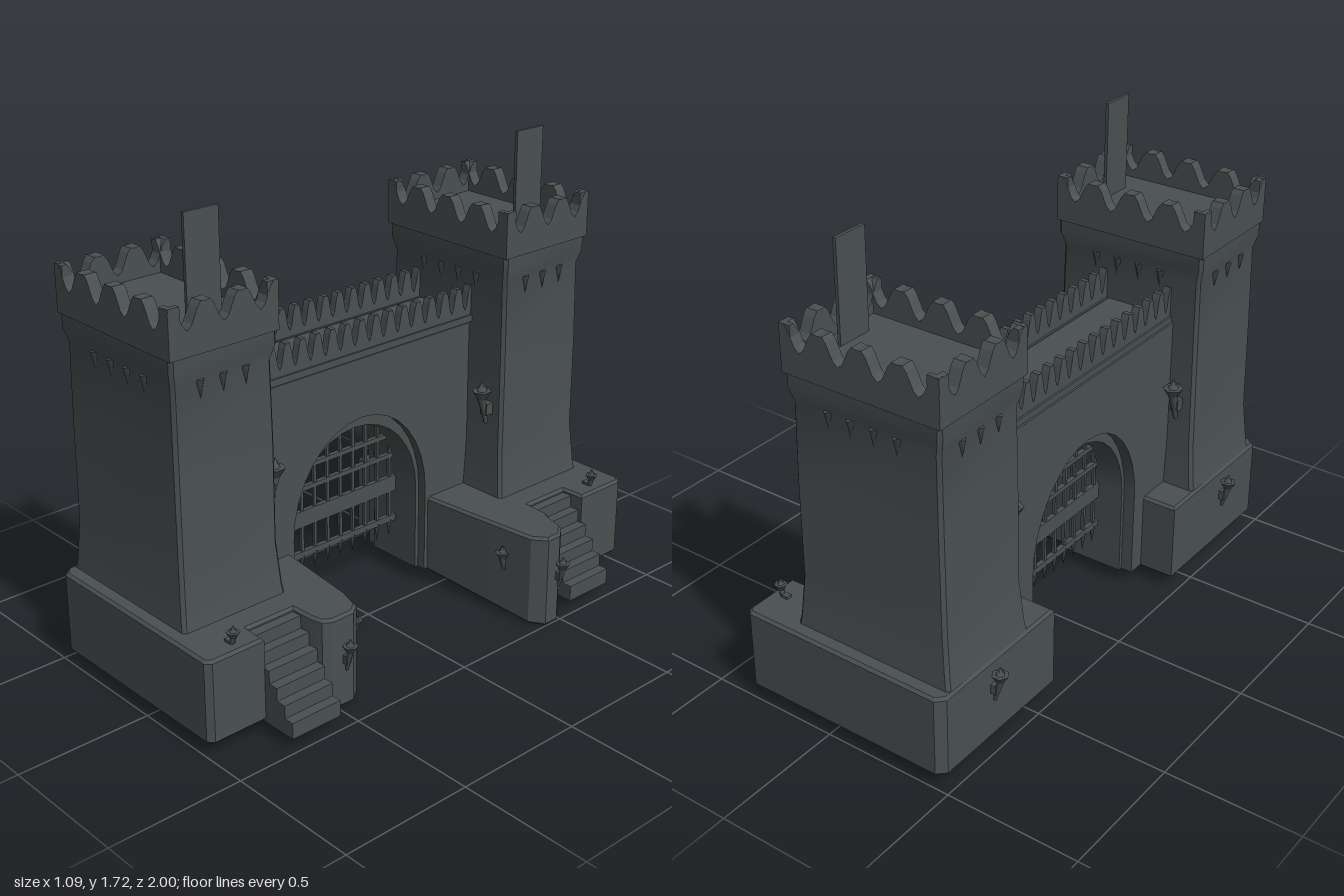
import * as THREE from 'three';
import { toCreasedNormals } from 'three/addons/utils/BufferGeometryUtils.js';

const stone = new THREE.MeshStandardMaterial({ color: 0x4a5050 });
stone.name = 'darkStone';

function add(parent, name, geometry, x = 0, y = 0, z = 0) {
  const mesh = new THREE.Mesh(geometry, stone);
  mesh.name = name;
  mesh.position.set(x, y, z);
  parent.add(mesh);
  return mesh;
}

// Stack of chamfered rectangles, each [y, x0, x1, z0, z1], closed at both ends
function loftRects(rings, c = 0.012) {
  const pos = [], idx = [], n = 8;
  for (const [y, x0, x1, z0, z1] of rings) {
    const pts = [[x0 + c, z0], [x0, z0 + c], [x0, z1 - c], [x0 + c, z1],
      [x1 - c, z1], [x1, z1 - c], [x1, z0 + c], [x1 - c, z0]];
    for (const [x, z] of pts) pos.push(x, y, z);
  }
  for (let r = 0; r < rings.length - 1; r++) {
    for (let i = 0; i < n; i++) {
      const a = r * n + i, b = r * n + (i + 1) % n;
      idx.push(a, b, b + n, a, b + n, a + n);
    }
  }
  const top = (rings.length - 1) * n;
  for (let i = 1; i < n - 1; i++) {
    idx.push(0, i + 1, i, top, top + i, top + i + 1);
  }
  const g = new THREE.BufferGeometry();
  g.setAttribute('position', new THREE.Float32BufferAttribute(pos, 3));
  g.setIndex(idx);
  return toCreasedNormals(g, 0.5);
}

// Parapet strip along x with rounded teeth, half a tooth at each end
function toothedWall(length, bottom, valley, top, gaps, thick) {
  const s = new THREE.Shape();
  const h = top - valley, step = length / gaps;
  s.moveTo(-length / 2, bottom);
  for (let i = 0; i < gaps; i++) {
    for (const [t, k] of [[0, 0.97], [0.13, 1], [0.22, 0.8], [0.38, 0.2], [0.5, 0], [0.62, 0.2], [0.78, 0.8], [0.87, 1]]) {
      s.lineTo(-length / 2 + (i + t) * step, valley + h * k);
    }
  }
  s.lineTo(length / 2, top);
  s.lineTo(length / 2, bottom);
  const g = new THREE.ExtrudeGeometry(s, { depth: thick, bevelEnabled: false });
  return g.translate(0, 0, -thick / 2);
}

// Wall slab across the gate with an arched opening
function archSlab(x0, x1, half, spring, apex, top) {
  const s = new THREE.Shape();
  s.moveTo(-0.56, 0.06);
  s.lineTo(-half, 0.06);
  for (let i = 0; i <= 16; i++) {
    const a = Math.PI * (1 - i / 16);
    s.lineTo(Math.cos(a) * half, spring + Math.sin(a) * (apex - spring));
  }
  s.lineTo(half, 0.06);
  s.lineTo(0.56, 0.06);
  s.lineTo(0.56, top);
  s.lineTo(-0.56, top);
  const g = new THREE.ExtrudeGeometry(s, { depth: x1 - x0, bevelEnabled: false });
  return toCreasedNormals(g.rotateY(Math.PI / 2).translate(x0, 0, 0), 0.5);
}

// Wall torch whose mount faces away from its local +z
function torch(parent, x, y, z, angle, scale = 1) {
  const g = new THREE.Group();
  g.name = 'torch';
  add(g, 'torchBracket', new THREE.BoxGeometry(0.03, 0.04, 0.04), 0, -0.02, 0);
  add(g, 'torchHandle', new THREE.CylinderGeometry(0.016, 0.007, 0.11, 6), 0, -0.02, 0.02).rotation.x = 0.25;
  add(g, 'torchCup', new THREE.CylinderGeometry(0.034, 0.016, 0.03, 6), 0, 0.035, 0.03);
  add(g, 'torchFlame', new THREE.ConeGeometry(0.022, 0.04, 5), 0, 0.065, 0.03);
  g.position.set(x, y, z);
  g.rotation.y = angle;
  g.scale.setScalar(scale);
  parent.add(g);
}

// Broad foundation with a wing and a notch for the stairs; tip is [x, |z|] points
function foundation(side, tip) {
  const outline = [[-0.45, 1], [-0.48, 0.97], [-0.48, 0.385], [-0.33, 0.385], [-0.33, 0.325], [-0.03, 0.335],
    ...tip, [0.35, 0.57], [0.26, 0.575], [0.26, 0.765], [0.35, 0.77], [0.35, 0.98], [0.33, 1]];
  const s = new THREE.Shape(outline.map(([x, z]) => new THREE.Vector2(x, -z * side)));
  const g = new THREE.ExtrudeGeometry(s, {
    depth: 0.29, bevelThickness: 0.01, bevelSize: 0.01, bevelOffset: -0.01, bevelSegments: 1 });
  g.rotateX(-Math.PI / 2).translate(0, 0.06, 0);
  // underside of the wing dips toward its tip
  const p = g.attributes.position;
  for (let i = 0; i < p.count; i++) {
    if (p.getY(i) < 0.2 && Math.abs(p.getZ(i)) < 0.573) {
      p.setY(i, p.getY(i) - 0.1 * Math.max(0, p.getX(i)));
    }
  }
  return toCreasedNormals(g, 0.5);
}

function tower(side) {
  const g = new THREE.Group();
  g.name = side > 0 ? 'frontTower' : 'backTower';
  g.position.z = 0.735 * side;

  add(g, 'towerBody', loftRects([
    [0.34, -0.475, 0.165, -0.215, 0.215], [0.39, -0.465, 0.155, -0.21, 0.21], [0.55, -0.45, 0.14, -0.2, 0.2],
    [0.9, -0.445, 0.14, -0.2, 0.2], [1.2, -0.44, 0.135, -0.197, 0.197], [1.25, -0.455, 0.15, -0.21, 0.21],
    [1.36, -0.455, 0.15, -0.21, 0.21]]));

  // crown of rounded battlements
  for (const k of [-1, 1]) {
    add(g, 'battlementLong', toothedWall(0.612, 1.3, 1.385, 1.47, 4, 0.045), -0.152, 0, k * 0.192);
    add(g, 'battlementShort', toothedWall(0.428, 1.3, 1.385, 1.47, 3, 0.045), -0.152 + k * 0.284, 0, 0)
      .rotation.y = Math.PI / 2;
  }

  // small pointed corbels under the crown
  const corbel = () => new THREE.ConeGeometry(0.022, 0.09, 4).rotateX(Math.PI);
  for (const k of [-1, 1]) {
    for (let i = 0; i < 4; i++) add(g, 'corbel', corbel(), -0.28 + i * 0.09, 1.165, k * 0.192);
    for (let i = 0; i < 3; i++) add(g, 'corbel', corbel(), -0.152 + k * 0.282, 1.165, -0.09 + i * 0.09);
  }

  // upright banner
  add(g, 'banner', new THREE.BoxGeometry(0.012, 0.37, 0.133), 0.047, 1.535, 0);
  return g;
}

export function createModel() {
  const model = new THREE.Group();
  model.name = 'castleGate';

  const tips = {
    1: [[0.3, 0.375], [0.38, 0.4], [0.41, 0.44], [0.41, 0.53], [0.39, 0.56]],
    '-1': [[0.3, 0.365], [0.45, 0.38], [0.5, 0.42], [0.5, 0.48], [0.46, 0.53], [0.38, 0.555]],
  };

  for (const side of [1, -1]) {
    model.add(tower(side));
    add(model, 'foundation', foundation(side, tips[side]));

    // stairs leading out of the foundation
    for (let i = 0; i < 6; i++) {
      const h = 0.3 - i * 0.048;
      add(model, 'stair', new THREE.BoxGeometry(0.04, h, 0.205), 0.277 + i * 0.038, 0.045 + h / 2, 0.67 * side);
    }

    // torches on the tower, the back and the wing
    const inward = side > 0 ? Math.PI : 0;
    torch(model, 0.08, 0.73, 0.525 * side, inward, 1.1);
    torch(model, -0.385, 0.73, 0.525 * side, inward, 1.1);
    torch(model, -0.482, 0.27, 0.73 * side, -Math.PI / 2, 0.9);
    torch(model, side > 0 ? 0.41 : 0.5, 0.21, 0.475 * side, Math.PI / 2, 0.8);
    torch(model, 0.33, 0.22, 0.385 * side, inward, 0.8);
    torch(model, 0.29, 0.37, 0.865 * side, Math.PI / 2, 0.7);
  }

  // gate wall: inner slab with a smaller arch between two outer slabs
  add(model, 'gateWallCore', archSlab(-0.3, -0.07, 0.305, 0.4, 0.735, 1.04));
  add(model, 'gateWallOuter', archSlab(-0.07, -0.035, 0.32, 0.4, 0.785, 1.02));
  add(model, 'gateWallInner', archSlab(-0.345, -0.3, 0.32, 0.4, 0.785, 1.02));

  // walkway parapets with narrow teeth
  for (const x of [-0.315, -0.045]) {
    add(model, 'parapet', toothedWall(1.08, 1.01, 1.065, 1.155, 16, 0.03), x, 0, 0).rotation.y = Math.PI / 2;
    add(model, 'parapetLedge', new THREE.BoxGeometry(0.045, 0.025, 1.08), x, 1.03, 0);
  }

  // portcullis
  const portcullis = new THREE.Group();
  portcullis.name = 'portcullis';
  portcullis.position.x = -0.19;
  for (let i = 0; i < 10; i++) {
    const z = -0.279 + i * 0.062;
    add(portcullis, 'verticalBar', new THREE.BoxGeometry(0.012, 0.54, 0.012), 0, 0.49, z);
    add(portcullis, 'barSpike', new THREE.ConeGeometry(0.014, 0.07, 4).rotateX(Math.PI), 0, 0.195, z);
  }
  for (const [y, h] of [[0.235, 0.025], [0.38, 0.065], [0.5, 0.018], [0.585, 0.018], [0.7, 0.018]]) {
    add(portcullis, 'crossBar', new THREE.BoxGeometry(0.018, h, 0.63), 0, y, 0);
  }
  model.add(portcullis);

  return model;
}
